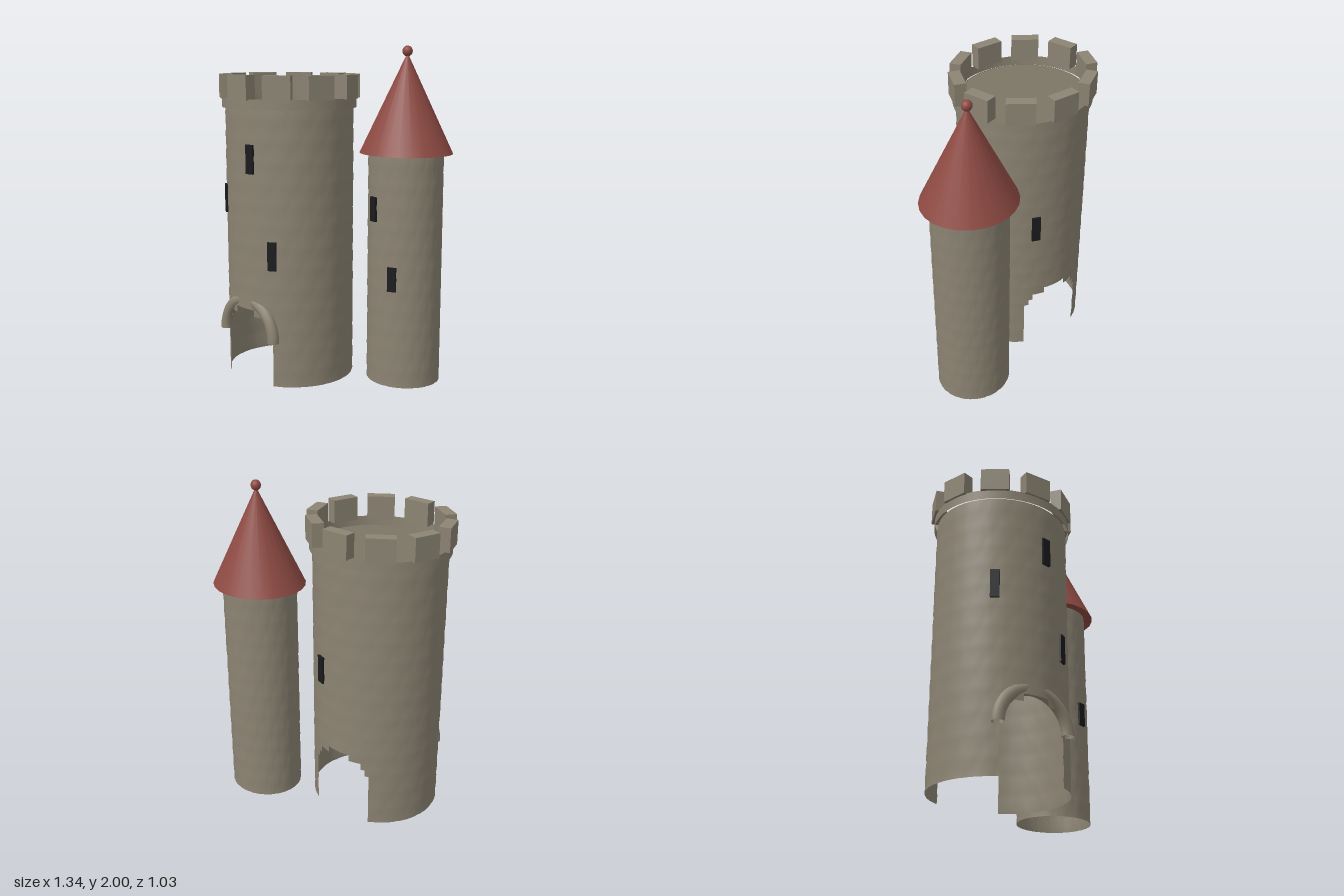
import * as THREE from 'three';
import { mergeVertices } from 'three/addons/utils/BufferGeometryUtils.js';

const COLS = 96, CELL = 0.04125;
const material = (color, side = THREE.FrontSide) =>
  new THREE.MeshStandardMaterial({ color, side, roughness: 0.9 });
const stone = material(0x8c8473);
const openStone = material(0x8c8473, THREE.DoubleSide);
const floorStone = material(0x7c7666);
const roofRed = material(0x8e4a43, THREE.DoubleSide);
const dark = material(0x1b1b1e);

function add(parent, name, geometry, mat, x = 0, y = 0, z = 0) {
  const mesh = new THREE.Mesh(geometry, mat);
  mesh.name = name;
  mesh.position.set(x, y, z);
  parent.add(mesh);
  return mesh;
}

// Round wall with shallow stone joints; isHole(angle, y) leaves out grid cells
function wall(radius, height, isHole = () => false) {
  const rows = Math.round(height / CELL), step = (Math.PI * 2) / COLS;
  const g = new THREE.CylinderGeometry(radius, radius, height, COLS, rows, true);
  g.translate(0, height / 2, 0);
  g.deleteAttribute('uv');
  g.deleteAttribute('normal');
  const index = Array.from(g.index.array).filter((_, i) => {
    const cell = Math.floor(i / 6);
    const angle = (Math.floor(cell / rows) + 0.5) * step;
    const y = height * (1 - ((cell % rows) + 0.5) / rows);
    return !isHole(angle, y);
  });
  g.setIndex(index);
  const p = g.attributes.position;
  for (let i = 0; i < p.count; i++) {
    const col = i % (COLS + 1), row = Math.floor(i / (COLS + 1));
    const course = Math.floor(row / 3);
    const joint = row % 3 === 0 || (col + (course % 2) * 3) % 6 === 0;
    const k = joint ? 1 - 0.0025 / radius : 1;
    p.setXYZ(i, p.getX(i) * k, p.getY(i), p.getZ(i) * k);
  }
  const merged = mergeVertices(g, 1e-5);
  merged.computeVertexNormals();
  return merged;
}

// Arrow slit set into a round wall, angle measured from the front
function slit(parent, radius, degrees, y, height) {
  const a = THREE.MathUtils.degToRad(degrees), r = radius - 0.004;
  const mesh = add(parent, 'arrowSlit', new THREE.BoxGeometry(0.054, height, 0.03), dark,
    Math.sin(a) * r, y, Math.cos(a) * r);
  mesh.rotation.y = a;
}

function createMainTower() {
  const tower = new THREE.Group();
  tower.name = 'mainTower';
  const R = 0.4;

  // Wall with a round-headed passage from front to back
  const passage = (angle, y) => {
    const x = Math.abs(Math.sin(angle)) * R;
    return x < 0.2 && (y < 0.25 || Math.hypot(x, y - 0.25) < 0.2);
  };
  add(tower, 'towerWall', wall(R, 1.65, passage), openStone);

  // Roof deck and parapet ring
  const deck = add(tower, 'roofDeck', new THREE.CircleGeometry(0.393, 48), floorStone, 0, 1.65, 0);
  deck.material.side = THREE.DoubleSide;
  deck.rotation.x = -Math.PI / 2;
  add(tower, 'parapetRing', new THREE.CylinderGeometry(0.418, 0.418, 0.06, 48, 1, true),
    openStone, 0, 1.67, 0);

  // Merlons
  for (let i = 0; i < 10; i++) {
    const a = (i / 10) * Math.PI * 2;
    const merlon = add(tower, 'merlon', new THREE.BoxGeometry(0.167, 0.14, 0.07), stone,
      Math.sin(a) * 0.395, 1.765, Math.cos(a) * 0.395);
    merlon.rotation.y = a;
  }

  // Arch moulding over the front entrance, its crown sunk into the wall
  add(tower, 'archMoulding', new THREE.TorusGeometry(0.22, 0.036, 12, 40, Math.PI), openStone,
    0, 0.28, 0.362);

  slit(tower, R, 10, 1.355, 0.17);
  slit(tower, R, -35, 1.09, 0.17);
  slit(tower, R, 30, 0.795, 0.17);
  slit(tower, R, 159, 0.95, 0.17);
  tower.position.set(-0.235, 0, 0.11);
  return tower;
}

function createSideTurret() {
  const turret = new THREE.Group();
  turret.name = 'sideTurret';
  const R = 0.228;
  add(turret, 'turretWall', wall(R, 1.39), openStone);
  add(turret, 'coneRoof', new THREE.ConeGeometry(0.283, 0.58, 24), roofRed, 0, 1.67, 0);
  add(turret, 'roofBall', new THREE.SphereGeometry(0.031, 16, 12), roofRed, 0, 1.969, 0);
  slit(turret, R, -16, 1.06, 0.145);
  slit(turret, R, 20, 0.66, 0.145);
  turret.position.set(0.383, 0, -0.254);
  return turret;
}

export function createModel() {
  const model = new THREE.Group();
  model.name = 'castleTowers';
  // Both towers are slightly oval, shallower from front to back
  for (const part of [createMainTower(), createSideTurret()]) {
    part.scale.z = 0.94;
    model.add(part);
  }
  return model;
}
